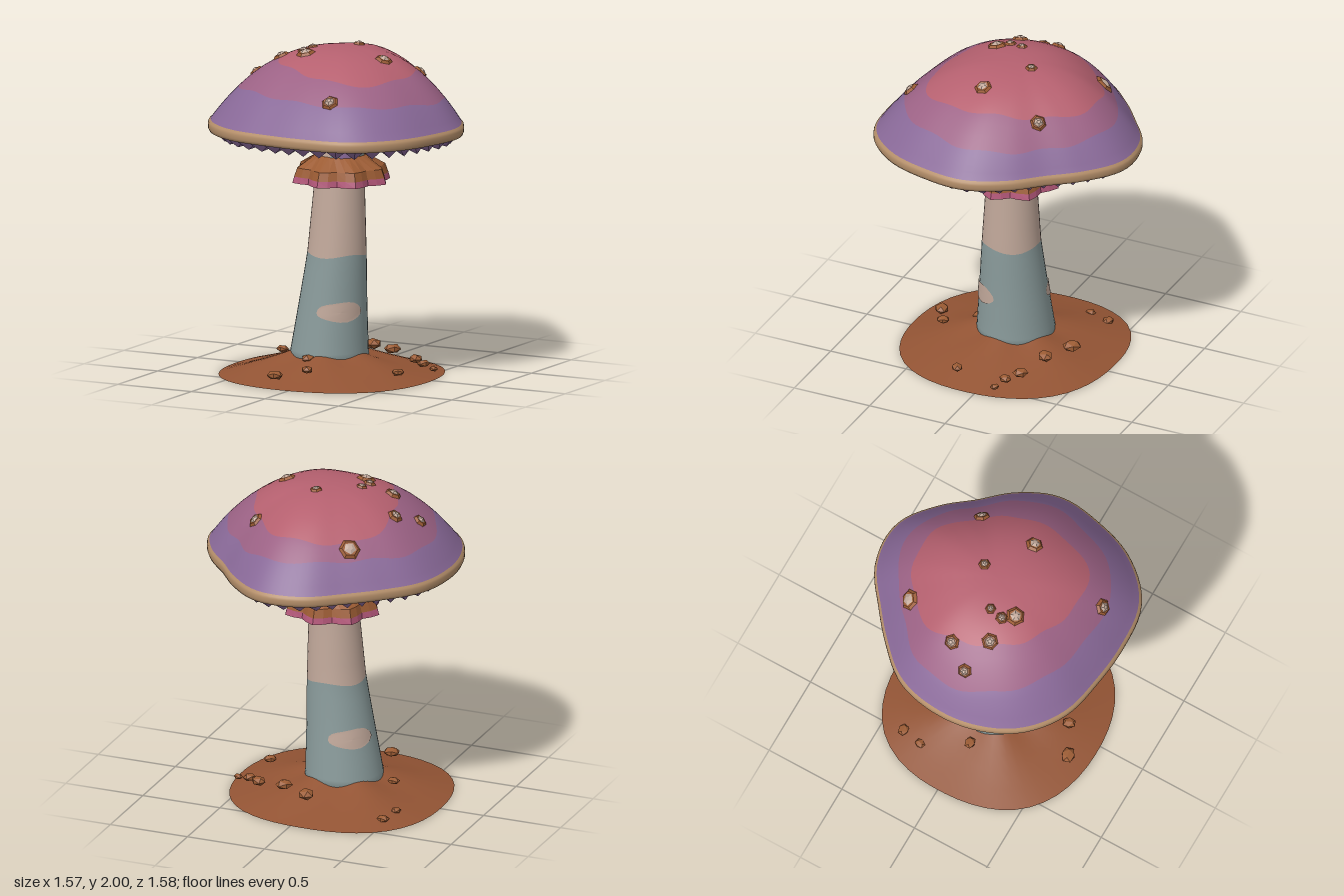
import * as THREE from 'three';

const TAU = Math.PI * 2;

// Colours
const mat = (name, color, side = THREE.FrontSide) => {
  const m = new THREE.MeshStandardMaterial({ color, side });
  m.name = name;
  return m;
};
const M = {
  red: mat('rose red', 0xb5606f),
  mauve: mat('mauve', 0x9c6285),
  purple: mat('purple', 0x896998),
  tan: mat('rim tan', 0xb58f6a),
  cream: mat('stem cream', 0xc2a99b),
  slate: mat('slate', 0x8a9b9b),
  gill: mat('gill blue', 0x505e70),
  brown: mat('warm brown', 0x9c5c34, THREE.DoubleSide),
  pink: mat('pink', 0xb4587a, THREE.DoubleSide),
  soil: mat('soil', 0x935434, THREE.DoubleSide),
};

// Smooth closed function of angle through evenly spaced samples
const around = (values) => {
  const curve = new THREE.CatmullRomCurve3(values.map((v) => new THREE.Vector3(v, 0, 0)), true, 'catmullrom');
  return (a) => curve.getPoint((((a / TAU) % 1) + 1) % 1).x;
};

// Piecewise linear lookup in rows of [key, ...values], keys ascending
const lookup = (table, k) => {
  let i = 0;
  while (i < table.length - 2 && k > table[i + 1][0]) i++;
  const f = (k - table[i][0]) / (table[i + 1][0] - table[i][0]);
  return table[i].map((v, c) => v + (table[i + 1][c] - v) * f);
};

// Closed rings joined into one surface; bands = [[rowCount, material], ...]
function loft(name, rows, segs, point, bands, flat = false) {
  const pos = [], index = [];
  for (let i = 0; i < rows; i++)
    for (let j = 0; j < segs; j++) pos.push(...point(i, (j / segs) * TAU, j));
  for (let i = 0; i < rows - 1; i++)
    for (let j = 0; j < segs; j++) {
      const k = (j + 1) % segs;
      const a = i * segs + j, b = i * segs + k, c = a + segs, d = b + segs;
      index.push(a, b, c, b, d, c);
    }
  let geo = new THREE.BufferGeometry();
  geo.setAttribute('position', new THREE.Float32BufferAttribute(pos, 3));
  geo.setIndex(index);
  if (flat) geo = geo.toNonIndexed();
  geo.computeVertexNormals();
  let start = 0;
  bands.forEach(([n, ], m) => {
    geo.addGroup(start, n * segs * 6, m);
    start += n * segs * 6;
  });
  const mesh = new THREE.Mesh(geo, bands.map((b) => b[1]));
  mesh.name = name;
  return mesh;
}

// Cap outline and dome height
const capRadius = around([0.78, 0.8, 0.847, 0.865, 0.805, 0.782, 0.815, 0.825, 0.805,
  0.782, 0.762, 0.713, 0.712, 0.775, 0.79, 0.72, 0.675, 0.72]);
const domeY = (t) => 1.53 + 0.455 * (1 - Math.pow(t, 2.5));
const redEdge = around([0.6, 0.64, 0.57, 0.49, 0.54, 0.7, 0.67, 0.66]);
const mauveEdge = around([0.83, 0.8, 0.78, 0.76, 0.83, 0.82, 0.81, 0.85]);

function makeCap() {
  const rim = [[0.995, 1.542], [1, 1.528], [1, 1.505], [0.99, 1.487], [0.94, 1.482]];
  return loft('cap', 21, 96, (i, a) => {
    const r1 = redEdge(a) + 0.012 * Math.sin(9 * a), r2 = mauveEdge(a) + 0.008 * Math.sin(11 * a);
    let t, y;
    if (i <= 8) t = (r1 * i) / 8;
    else if (i <= 11) t = r1 + ((r2 - r1) * (i - 8)) / 3;
    else if (i <= 15) t = r2 + ((0.98 - r2) * (i - 11)) / 4;
    if (i <= 15) y = domeY(t);
    else [t, y] = rim[i - 16];
    const r = t * capRadius(a);
    return [r * Math.cos(a), y, r * Math.sin(a)];
  }, [[8, M.red], [3, M.mauve], [4, M.purple], [5, M.tan]]);
}

// Pleated underside: [t, ridge y, valley y]
function makeGills() {
  const rows = [[0.95, 1.483, 1.483], [0.89, 1.432, 1.476], [0.6, 1.47, 1.5], [0.35, 1.51, 1.53], [0.12, 1.55, 1.555]];
  return loft('gills', rows.length, 88, (i, a, j) => {
    const [t, low, high] = rows[i];
    const r = t * capRadius(a);
    return [r * Math.cos(a), j % 2 ? high : low, r * Math.sin(a)];
  }, [[2, M.purple], [2, M.gill]], true);
}

// Leaning stem: [y, centre x, centre z, radius]
const stemTable = [[0.05, -0.08, 0.048, 0.243], [0.12, -0.078, 0.048, 0.236], [0.44, -0.05, 0.051, 0.204],
  [0.73, -0.024, 0.052, 0.178], [1.17, -0.01, 0.045, 0.151], [1.46, -0.003, 0.037, 0.138], [1.6, 0, 0.035, 0.136]];
const stemPoint = (y, a, out = 0, k = 1) => {
  const [, cx, cz, r] = lookup(stemTable, y);
  return [cx + k * (r + out) * Math.cos(a), y, cz + k * (r + out) * Math.sin(a)];
};

function makeStem() {
  const rows = 16;
  return loft('stem', rows, 40, (i, a) => {
    const edge = 0.735 + 0.01 * Math.sin(3 * a);
    if (i <= 7) return stemPoint(1.6 + ((edge - 1.6) * i) / 7, a);
    if (i <= 14) return stemPoint(edge + ((0.05 - edge) * (i - 7)) / 7, a);
    return stemPoint(0.05, a, 0, 0);
  }, [[7, M.cream], [7, M.slate], [1, M.cream]]);
}

// Thin blotch lying on the stem
const makePatch = (name, a0, y0, halfAngle, halfHeight, material, out) =>
  loft(name, 6, 20, (i, p) => {
    const s = i / 5, wob = 1 + 0.1 * Math.sin(3 * p + 1);
    const dy = Math.sin(p) * (Math.sin(p) < 0 ? 0.85 : 1) * wob;
    return stemPoint(y0 + halfHeight * s * dy, a0 - halfAngle * s * -Math.cos(p), out);
  }, [[5, material]]);

// Scalloped skirt around the stem: [radius, y, scallop depth]
function makeSkirt() {
  const rows = [[0.13, 1.335, 0], [0.15, 1.335, 0], [0.255, 1.262, 0.02], [0.272, 1.21, 0.022], [0.28, 1.172, 0.025]];
  return loft('skirt', rows.length, 32, (i, a) => {
    const [r0, y, s] = rows[i];
    const r = r0 + s * Math.cos(8 * a);
    return [-0.004 + r * Math.cos(a), y, 0.035 + r * Math.sin(a)];
  }, [[3, M.brown], [1, M.pink]], true);
}

// Soil mound, an open shell with a hole for the stem: [fraction, y]
function makeMound() {
  const radius = around([0.66, 0.7, 0.66, 0.685, 0.66, 0.715, 0.655, 0.685]);
  const rows = [[0.33, 0.13], [0.4, 0.113], [0.52, 0.088], [0.66, 0.06], [0.82, 0.03], [1, 0]];
  return loft('soilMound', rows.length, 48, (i, a) => {
    const [f, y] = rows[i];
    const r = f * radius(a);
    const bump = (1 - f) * 0.018 * Math.sin(5 * a + 1);
    return [-0.06 - 0.018 * (1 - f) + r * Math.cos(a), y + bump, 0.05 + r * Math.sin(a)];
  }, [[5, M.soil]]);
}

const flatGeo = (g) => {
  const f = g.index ? g.toNonIndexed() : g;
  f.computeVertexNormals();
  return f;
};

// Warts standing on the dome: [x, z, radius]
function makeWarts() {
  const group = new THREE.Group();
  group.name = 'warts';
  const base = flatGeo(new THREE.CylinderGeometry(0.62, 1, 0.5, 6));
  const tip = flatGeo(new THREE.CylinderGeometry(0.2, 0.5, 0.2, 5));
  const surface = (x, z) => {
    const t = Math.hypot(x, z) / capRadius(Math.atan2(z, x));
    return new THREE.Vector3(x, domeY(t), z);
  };
  [[-0.31, -0.425, 0.08], [0.35, -0.305, 0.062], [0.04, -0.11, 0.045], [-0.45, -0.055, 0.058],
    [-0.55, 0.09, 0.054], [-0.35, 0.15, 0.062], [-0.185, 0.06, 0.04], [-0.2, 0.145, 0.046],
    [-0.15, 0.21, 0.07], [0.31, 0.08, 0.065], [0.225, 0.6, 0.064]].forEach(([x, z, r], i) => {
    const e = 0.02, p = surface(x, z);
    const normal = surface(x, z + e).sub(p).cross(surface(x + e, z).sub(p)).normalize();
    const wart = new THREE.Group();
    wart.name = 'wart';
    const b = new THREE.Mesh(base, M.brown), t = new THREE.Mesh(tip, M.cream);
    b.name = 'wartBase';
    t.name = 'wartTip';
    t.position.y = 0.34;
    b.rotation.y = i * 1.3;
    t.rotation.y = i * 0.9;
    wart.add(b, t);
    wart.position.copy(p);
    wart.quaternion.setFromUnitVectors(new THREE.Vector3(0, 1, 0), normal);
    wart.scale.set(r, Math.min(r, 0.055), r);
    group.add(wart);
  });
  return group;
}

// Pebbles on the soil: [x, y, z, radius]
function makePebbles() {
  const group = new THREE.Group();
  group.name = 'pebbles';
  const geo = flatGeo(new THREE.IcosahedronGeometry(1, 0));
  [[-0.4, 0.115, 0.04, 0.04], [-0.09, 0.12, 0.29, 0.05], [-0.16, 0.062, 0.58, 0.052], [0.01, 0.095, 0.49, 0.042],
    [0.46, 0.07, 0.18, 0.042], [0, 0.115, -0.36, 0.06], [0.18, 0.115, -0.27, 0.055], [0.375, 0.082, -0.2, 0.05],
    [0.46, 0.07, -0.14, 0.042], [0.545, 0.05, -0.11, 0.03], [-0.53, 0.045, -0.23, 0.034],
    [-0.5, 0.035, -0.36, 0.04]].forEach(([x, y, z, r], i) => {
    const m = new THREE.Mesh(geo, M.brown);
    m.name = 'pebble';
    m.position.set(x, y, z);
    m.rotation.y = i * 1.7;
    m.scale.set(r, r * 0.55, r * 0.85);
    group.add(m);
  });
  return group;
}

export function createModel() {
  const model = new THREE.Group();
  model.name = 'mushroom';
  model.add(
    makeCap(), makeGills(), makeStem(), makeSkirt(), makeMound(), makeWarts(), makePebbles(),
    makePatch('stemPatchFront', 0.85, 0.4, 0.7, 0.065, M.cream, 0.005),
    makePatch('stemPatchBack', 0.85 + Math.PI, 0.4, 0.7, 0.065, M.cream, 0.005),
    makePatch('upperSlatePatch', 0.6, 1.3, 0.95, 0.11, M.slate, 0.004),
    makePatch('upperPurplePatch', 0.85, 1.33, 0.25, 0.08, M.purple, 0.008),
  );
  return model;
}
